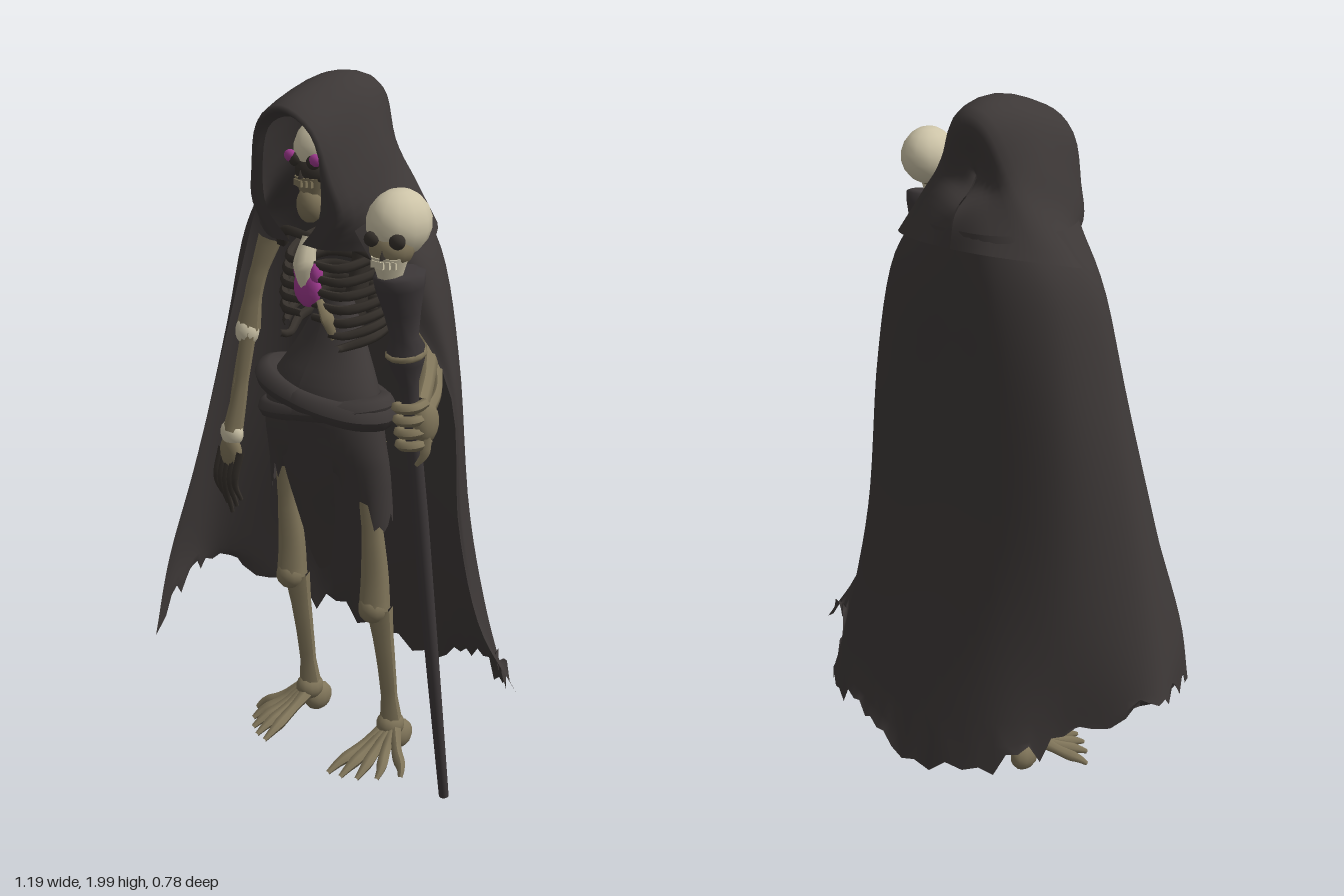
import * as THREE from 'three';

const mat = (name, color, side = THREE.FrontSide) => {
  const m = new THREE.MeshStandardMaterial({ color, side });
  m.name = name;
  return m;
};
const V = (x, y, z) => new THREE.Vector3(x, y, z);

export function createModel() {
  const model = new THREE.Group();
  model.name = 'hoodedSkeleton';
  const cloth = mat('darkCloth', 0x3d3837, THREE.DoubleSide);
  const paleBone = mat('paleBone', 0xcdc4a8);
  const oldBone = mat('oldBone', 0x7f7459);
  const darkBone = mat('darkBone', 0x35302b);
  const wood = mat('staffWood', 0x3d3839);
  const glow = mat('magentaGlow', 0xa03a90);

  const add = (name, geo, material, parent = model) => {
    const m = new THREE.Mesh(geo, material);
    m.name = name;
    parent.add(m);
    return m;
  };

  // Smooth sheet through rows of points; edge(p, u, v) may move each point
  const sheet = (rows, nU, nV, edge = () => {}, closed = false) => {
    const fine = rows.map(r => new THREE.CatmullRomCurve3(r, closed, 'catmullrom').getPoints(nU));
    const pos = [], idx = [];
    for (let i = 0; i <= nU; i++) {
      const col = new THREE.CatmullRomCurve3(fine.map(r => r[i]), false, 'catmullrom').getPoints(nV);
      col.forEach((p, j) => { edge(p, i, j / nV); pos.push(p.x, p.y, p.z); });
    }
    const w = nV + 1;
    for (let i = 0; i < nU; i++) for (let j = 0; j < nV; j++) {
      const a = i * w + j, b = a + w;
      idx.push(a, a + 1, b, b, a + 1, b + 1);
    }
    const g = new THREE.BufferGeometry();
    g.setAttribute('position', new THREE.Float32BufferAttribute(pos, 3));
    g.setIndex(idx);
    g.computeVertexNormals();
    return g;
  };

  // Tube whose radius follows a list of values
  const limb = (pts, radii, sides = 8, closed = false) => {
    const curve = new THREE.CatmullRomCurve3(pts.map(p => V(...p)), closed);
    const seg = Math.max(8, pts.length * 4);
    const g = new THREE.TubeGeometry(curve, seg, 1, sides, closed);
    const p = g.attributes.position, v = V(0, 0, 0);
    for (let i = 0; i <= seg; i++) {
      const c = curve.getPointAt(i / seg), t = i / seg * (radii.length - 1);
      const k = Math.min(Math.floor(t), radii.length - 2);
      const r = THREE.MathUtils.lerp(radii[k], radii[k + 1], t - k);
      for (let s = 0; s <= sides; s++) {
        const n = i * (sides + 1) + s;
        v.fromBufferAttribute(p, n).sub(c).multiplyScalar(r).add(c);
        p.setXYZ(n, v.x, v.y, v.z);
      }
    }
    g.computeVertexNormals();
    return g;
  };
  const ball = (name, x, y, z, rx, ry, rz, m, parent) => {
    const b = add(name, new THREE.SphereGeometry(1, 12, 9), m, parent);
    b.position.set(x, y, z);
    b.scale.set(rx, ry, rz);
    return b;
  };
  const jag = i => [0, 0.035, 0.01, 0.05, -0.015, 0.02, 0.045][(i * 5 + Math.floor(i / 7)) % 7];

  // Cloak: from the right front edge round the back to the left front edge
  const level = (y, xz) => xz.map(([x, z]) => V(x, y, z));
  const cloakRows = [
    level(1.67, [[-.15, .16], [-.2, .1], [-.22, 0], [-.18, -.1], [-.1, -.16], [0, -.175], [.1, -.165], [.19, -.11], [.24, -.02], [.24, .07], [.17, .16]]),
    level(1.5, [[-.23, .14], [-.31, .08], [-.33, 0], [-.27, -.11], [-.14, -.18], [0, -.19], [.14, -.19], [.27, -.13], [.34, -.04], [.35, .05], [.27, .12]]),
    level(1.2, [[-.34, .13], [-.4, .07], [-.41, -.02], [-.33, -.14], [-.17, -.2], [0, -.21], [.16, -.21], [.3, -.16], [.38, -.08], [.42, -.02], [.42, .01]]),
    level(.8, [[-.43, .18], [-.49, .1], [-.5, -.02], [-.38, -.16], [-.2, -.23], [0, -.245], [.18, -.24], [.32, -.19], [.4, -.1], [.44, -.04], [.44, -.02]]),
    level(.5, [[-.48, .25], [-.55, .13], [-.565, -.03], [-.41, -.18], [-.22, -.27], [.02, -.295], [.2, -.28], [.36, -.22], [.43, -.15], [.47, -.09], [.49, -.06]]),
    [[-.47, .27, .32], [-.57, .35, .11], [-.59, .37, -.05], [-.4, .25, -.2], [-.25, .18, -.33], [.05, .13, -.38],
      [.24, .19, -.35], [.42, .21, -.27], [.45, .28, -.2], [.5, .36, -.14], [.59, .31, -.11]].map(p => V(...p)),
  ];
  add('cloak', sheet(cloakRows, 60, 24, (p, i, v) => {
    if (v === 1 && i > 2 && i < 58) p.y += jag(i);
  }), cloth);

  // Hood: arches from the front rim to the back of the neck
  const arch = half => [
    ...half.slice(1).reverse().map(([x, y, z]) => V(.01 - x, y, z)),
    ...half.map(([x, y, z]) => V(.015 + x * 1.06, y, z)),
  ];
  add('hood', sheet([
    arch([[0, 1.9, .2], [.08, 1.86, .2], [.105, 1.75, .2], [.095, 1.64, .195], [.02, 1.555, .18]]),
    arch([[0, 1.935, .235], [.1, 1.88, .22], [.145, 1.75, .2], [.17, 1.65, .18], [.12, 1.555, .17]]),
    arch([[0, 2, .04], [.09, 1.955, .04], [.155, 1.82, .04], [.2, 1.7, .04], [.29, 1.57, .04]]),
    arch([[0, 1.965, -.105], [.06, 1.93, -.1], [.11, 1.82, -.08], [.17, 1.73, -.08], [.26, 1.6, -.08]]),
    arch([[0, 1.85, -.085], [.025, 1.83, -.085], [.05, 1.78, -.09], [.08, 1.73, -.13], [.13, 1.62, -.175]]),
    arch([[0, 1.8, -.07], [0, 1.79, -.075], [0, 1.76, -.1], [0, 1.71, -.165], [0, 1.62, -.188]]),
  ], 32, 20), cloth);

  // Skulls, facing +z
  const skull = (name, faceMat, jawMat, eyeMat) => {
    const g = new THREE.Group();
    g.name = name;
    model.add(g);
    ball('cranium', 0, 0, 0, .08, .085, .095, paleBone, g);
    ball('cheeks', 0, -.055, .04, .058, .05, .055, faceMat, g);
    const jaw = add('jaw', new THREE.CylinderGeometry(.05, .032, .055, 8), jawMat, g);
    jaw.position.set(0, -.1, .048);
    for (const s of [-1, 1]) {
      ball('socket', s * .034, -.028, .08, .022, .02, .016, darkBone, g);
      if (eyeMat) ball('eye', s * .048, -.02, .085, .021, .017, .014, eyeMat, g);
    }
    const nose = add('noseHole', new THREE.ConeGeometry(.012, .028, 3), darkBone, g);
    nose.position.set(0, -.06, .093);
    for (let i = -2; i <= 2; i++) {
      const t = add('tooth', new THREE.BoxGeometry(.011, .018, .01), jawMat, g);
      t.position.set(i * .014, -.088, .095 - Math.abs(i) * .006);
    }
    return g;
  };
  const head = skull('head', darkBone, oldBone, glow);
  head.position.set(.02, 1.805, .075);
  ball('chin', 0, -.15, .06, .04, .05, .035, oldBone, head);
  const trophy = skull('staffSkull', oldBone, paleBone, null);
  trophy.position.set(.5, 1.715, .295);
  trophy.rotation.y = .3;

  // Rib cage, spine, breastbone and glowing heart
  const cx = .03;
  for (let i = 0; i < 7; i++) {
    const y = 1.53 - i * .037, w = .12 + .05 * Math.sin((i + 1) / 7 * 2.6), open = i > 4 ? .05 + (i - 4) * .03 : .02;
    for (const s of [-1, 1]) {
      add('rib', limb([[cx, y + .02, -.07], [cx + s * w * .8, y + .015, -.05], [cx + s * w, y - .01, .04],
        [cx + s * w * .7, y - .035, .13], [cx + s * open, y - .03, .155]], [.012, .014, .014, .014, .01], 6), darkBone);
    }
  }
  add('spine', limb([[cx, 1.7, .02], [cx, 1.5, -.06], [cx, 1.35, -.03], [cx, 1.1, .04]], [.03, .03, .035, .04]), darkBone);
  add('breastbone', limb([[cx, 1.57, .145], [cx, 1.5, .165], [cx, 1.42, .16]], [.02, .032, .015]), paleBone);
  ball('heart', cx, 1.43, .155, .048, .055, .025, glow);
  for (const s of [-1, 1]) {
    ball('heartLobe', cx + s * .032, 1.475, .152, .017, .032, .02, glow);
    add('collarbone', limb([[cx, 1.56, .13], [cx + s * .13, 1.56, .11], [cx + s * .23, 1.5, .03]], [.014, .014, .02], 6), darkBone);
  }
  add('ribTip', limb([[.07, 1.4, .15], [.11, 1.35, .155], [.12, 1.3, .145]], [.01, .02, .008], 6), oldBone);

  // Waist wrap and torn skirt
  const ring = (y, rx, rz, cz) => Array.from({ length: 16 }, (_, i) => {
    const a = i / 16 * Math.PI * 2;
    return V(cx + rx * Math.sin(a), y, cz + rz * Math.cos(a));
  });
  add('skirt', sheet([ring(1.38, .05, .04, .04), ring(1.25, .12, .075, .06), ring(1.13, .19, .11, .09),
    ring(1, .215, .11, .09), ring(.88, .225, .1, .065)], 48, 14, (p, i, v) => {
    const a = i / 48 * Math.PI * 2;
    if (v > .9) p.y -= (v - .9) * 10 * (.08 * (1 - Math.cos(2 * a)) - .03 - jag(i % 48));
  }, true), cloth);
  add('frontCloth', sheet([
    [V(-.07, 1.08, .19), V(.04, 1.08, .215), V(.15, 1.06, .19)],
    [V(-.06, .9, .165), V(.04, .9, .19), V(.14, .9, .165)],
    [V(-.04, .75, .13), V(.04, .75, .155), V(.11, .76, .13)],
    [V(-.005, .62, .11), V(.04, .59, .12), V(.075, .61, .11)],
  ], 10, 10), cloth);
  for (const [tilt, y, r] of [[.14, 1.12, .032], [-.2, 1.08, .026]]) {
    const loop = Array.from({ length: 12 }, (_, i) => {
      const a = i / 12 * Math.PI * 2;
      return [cx + .205 * Math.sin(a), y - tilt * .2 * Math.sin(a), .09 + .105 * Math.cos(a)];
    });
    add('sash', limb(loop, [r, r * 1.3, r, r * 1.2, r], 8, true), cloth);
  }

  // Legs and splayed bony feet
  for (const [side, x, s] of [['right', -.14, -1], ['left', .2, 1]]) {
    add(side + 'Thigh', limb([[x + s * -.02, 1, .06], [x, .8, .075], [x, .6, .06], [x, .5, .06]], [.045, .036, .03, .038, .045]), oldBone);
    ball(side + 'Knee', x, .5, .065, .044, .045, .045, oldBone);
    add(side + 'Shin', limb([[x + .01, .5, .05], [x + .012, .3, .02], [x, .1, -.015]], [.038, .03, .026, .024, .034]), oldBone);
    add(side + 'Calf', limb([[x - .022, .48, .03], [x - .025, .3, -.02], [x - .015, .1, -.035]], [.02, .018, .014, .022], 6), oldBone);
    ball(side + 'Heel', x, .055, -.045, .035, .045, .05, oldBone);
    ball(side + 'Ankle', x, .1, -.01, .04, .04, .045, oldBone);
    for (let i = 0; i < 5; i++) {
      const dx = s * (-.035 + i * .042), tz = .215 - i * i * .008;
      add(side + 'Toe', limb([[x + dx * .2, .09, 0], [x + dx * .6, .05, tz * .5], [x + dx * .9, .03, tz * .8], [x + dx, .012, tz]],
        [.022, .016, .018, .007], 6), oldBone);
    }
  }

  // Right arm, hanging
  add('rightUpperArm', limb([[-.25, 1.5, .03], [-.28, 1.37, .06], [-.305, 1.23, .07]], [.035, .026, .026, .036]), oldBone);
  ball('rightElbow', -.305, 1.22, .075, .036, .045, .036, paleBone);
  add('rightForearm', limb([[-.295, 1.22, .08], [-.31, 1.05, .1], [-.325, .92, .12]], [.024, .02, .03]), oldBone);
  add('rightForearmBack', limb([[-.32, 1.22, .06], [-.345, 1.05, .08], [-.335, .92, .11]], [.018, .016, .02], 6), oldBone);
  ball('rightWrist', -.33, .91, .12, .04, .04, .03, paleBone);
  ball('rightPalm', -.33, .85, .125, .042, .055, .024, oldBone);
  for (let i = 0; i < 5; i++) {
    const x = -.368 + i * .02;
    add('rightFinger', limb([[x, .86, .125], [x - .01, .76, .14], [x, .66 + Math.abs(i - 2) * .025, .125]], [.013, .012, .006], 6), darkBone);
  }

  // Staff, leaning forward
  const foot = V(.487, .012, .07), top = V(.52, 1.6, .315);
  const axis = top.clone().sub(foot), len = axis.length();
  const staffAt = y => foot.clone().lerp(top, (y - foot.y) / (top.y - foot.y));
  const profile = [[0, 0], [.014, 0], [.018, .4], [.022, .9], [.02, 1.2], [.026, 1.3], [.046, 1.36], [.05, 1.4],
    [.036, 1.43], [.048, 1.5], [.064, 1.57], [.067, 1.6], [.05, len], [0, len]];
  const staff = add('staff', new THREE.LatheGeometry(profile.map(p => new THREE.Vector2(...p)), 10), wood);
  staff.position.copy(foot);
  staff.quaternion.setFromUnitVectors(V(0, 1, 0), axis.normalize());
  const band = add('staffBand', new THREE.TorusGeometry(.046, .009, 6, 12), oldBone);
  band.position.copy(staffAt(1.38));
  band.rotation.x = Math.PI / 2 + .15;

  // Left arm, reaching to the staff
  add('leftUpperArm', limb([[.27, 1.48, .02], [.3, 1.38, .02], [.33, 1.29, .0]], [.035, .03, .04]), oldBone);
  ball('leftElbow', .335, 1.28, .01, .045, .045, .04, oldBone);
  add('leftForearm', limb([[.33, 1.29, 0], [.42, 1.25, .1], [.5, 1.22, .21]], [.036, .024, .024]), oldBone);
  add('leftForearmBack', limb([[.35, 1.26, -.01], [.45, 1.22, .09], [.515, 1.2, .2]], [.022, .015, .02], 6), oldBone);
  ball('leftPalm', .545, 1.19, .235, .028, .055, .04, oldBone);
  for (let i = 0; i < 4; i++) {
    const c = staffAt(1.245 - i * .035);
    add('leftFinger', limb([[c.x + .035, c.y, c.z - .02], [c.x + .035, c.y - .005, c.z + .025], [c.x, c.y - .01, c.z + .04],
      [c.x - .035, c.y - .015, c.z + .015], [c.x - .03, c.y - .02, c.z - .015]], [.014, .014, .013, .007], 6), oldBone);
  }
  add('leftThumb', limb([[.55, 1.16, .24], [.555, 1.11, .25], [.54, 1.08, .265]], [.016, .014, .006], 6), oldBone);

  return model;
}
